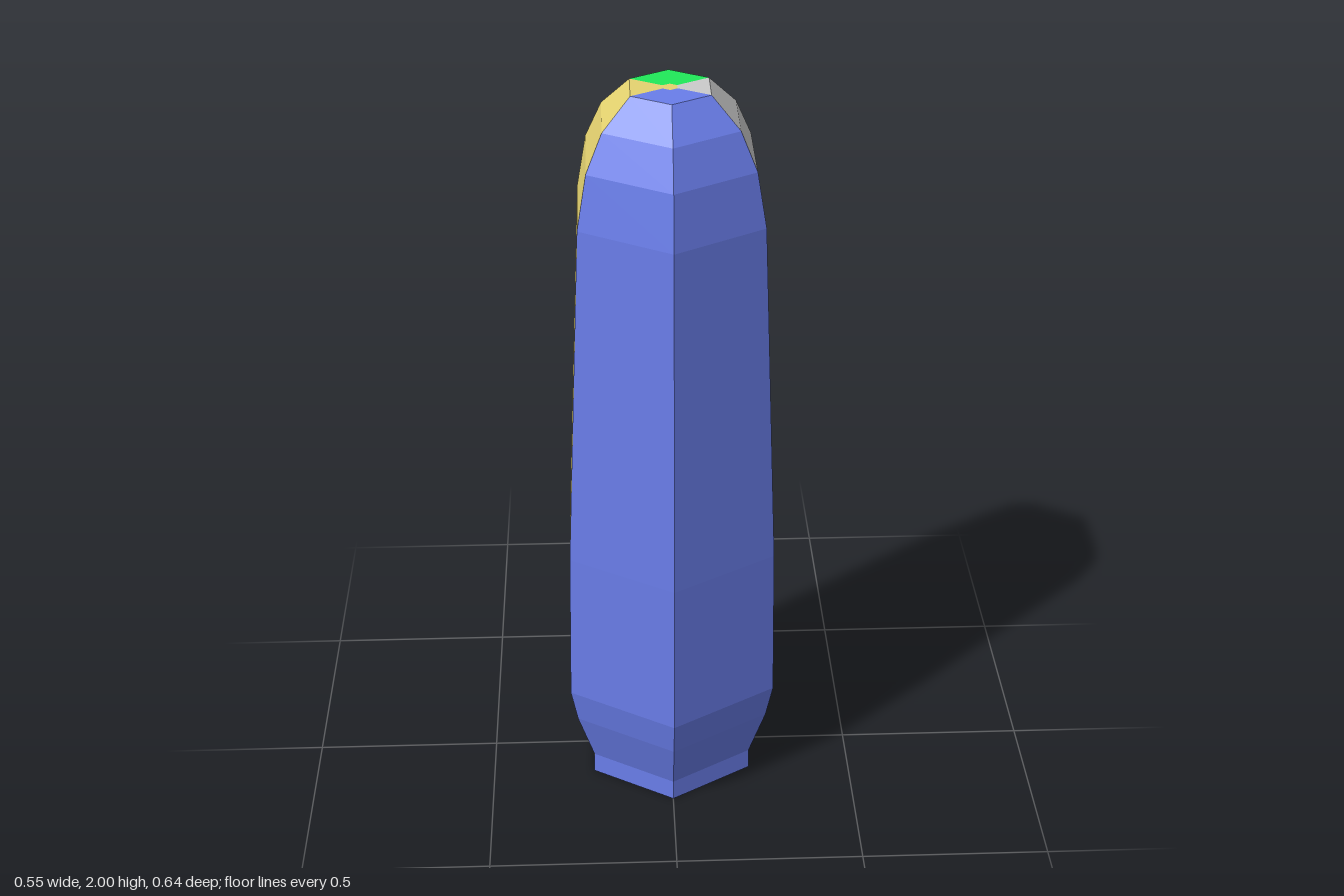
import * as THREE from 'three';

// Silhouette from the foot to the tip: corner radius, height
const profile = [
  [0.253, 0], [0.251, 0.06], [0.3, 0.21], [0.32, 0.31], [0.31, 0.75], [0.262, 1.69],
  [0.235, 1.83], [0.189, 1.925], [0.11, 2], [0.02, 2],
].map(([r, y]) => new THREE.Vector2(r, y));

const SIXTH = Math.PI / 3;

function paint(color) {
  return new THREE.MeshStandardMaterial({ color, flatShading: true });
}

export function createModel() {
  const group = new THREE.Group();
  const tan = paint(0xe5d370);

  function add(name, geometry, material) {
    const mesh = new THREE.Mesh(geometry, material);
    mesh.name = name;
    group.add(mesh);
    return mesh;
  }

  // Coloured facets of the hexagonal body: name, material, first corner, facet count
  const sides = [
    ['frontFacets', paint(0x6a7eeb), -1, 2],
    ['leftFacet', paint(0xcccccc), 1, 1],
    ['backFacets', paint(0x20ea59), 2, 2],
    ['rightFacet', tan, 4, 1],
  ];
  for (const [name, material, start, count] of sides) {
    add(name, new THREE.LatheGeometry(profile, count, start * SIXTH, count * SIXTH), material);
  }

  // Small hexagon closing the tip, and the flat underside
  const hexagon = (radius) => new THREE.CircleGeometry(radius, 6, Math.PI / 2);
  add('tipCap', hexagon(0.02).rotateX(-Math.PI / 2), tan).position.y = 2;
  add('baseCap', hexagon(0.253).rotateX(Math.PI / 2), tan);

  return group;
}
